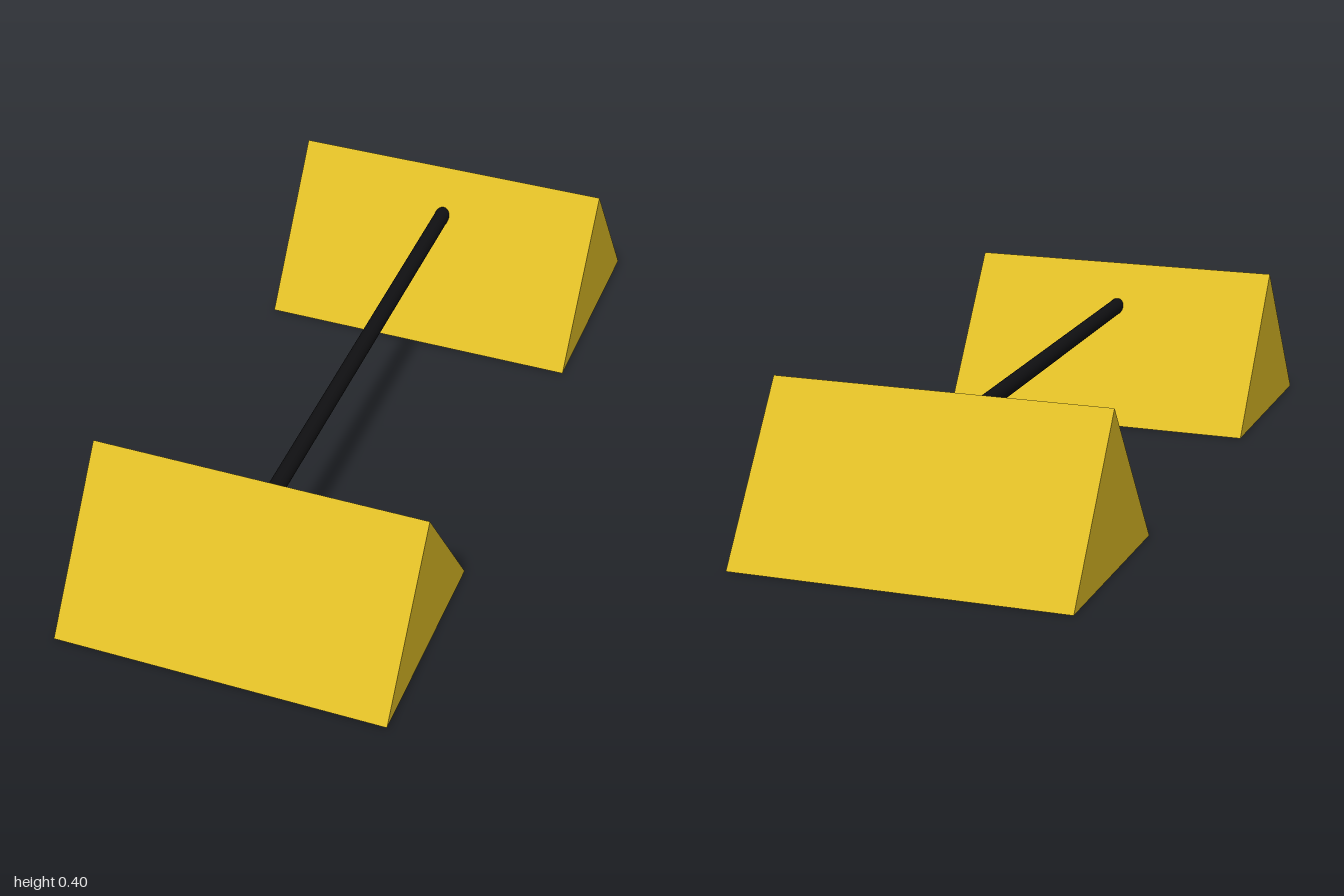
import * as THREE from 'three';

export function createModel() {
  const model = new THREE.Group();
  const yellow = new THREE.MeshStandardMaterial({ name: 'yellow', color: 0xe0be26 });
  const black = new THREE.MeshStandardMaterial({ name: 'black', color: 0x101012 });

  // Triangular prism, ridge running along x
  const width = 0.855, half = 0.286, height = 0.4;
  const triangle = new THREE.Shape([
    new THREE.Vector2(-half, 0),
    new THREE.Vector2(half, 0),
    new THREE.Vector2(0, height),
  ]);
  const prism = new THREE.ExtrudeGeometry(triangle, { depth: width, bevelEnabled: false });
  prism.translate(0, 0, -width / 2).rotateY(Math.PI / 2);

  for (const [name, side] of [['frontWedge', 1], ['backWedge', -1]]) {
    const wedge = new THREE.Mesh(prism, yellow);
    wedge.name = name;
    wedge.position.z = side * (1 - half);
    model.add(wedge);
  }

  // Round bar joining the wedges, ends buried inside them
  const bar = new THREE.Mesh(new THREE.CylinderGeometry(0.021, 0.021, 1.4, 24), black);
  bar.name = 'connectingBar';
  bar.rotation.x = Math.PI / 2;
  bar.position.y = 0.29;
  model.add(bar);

  return model;
}
